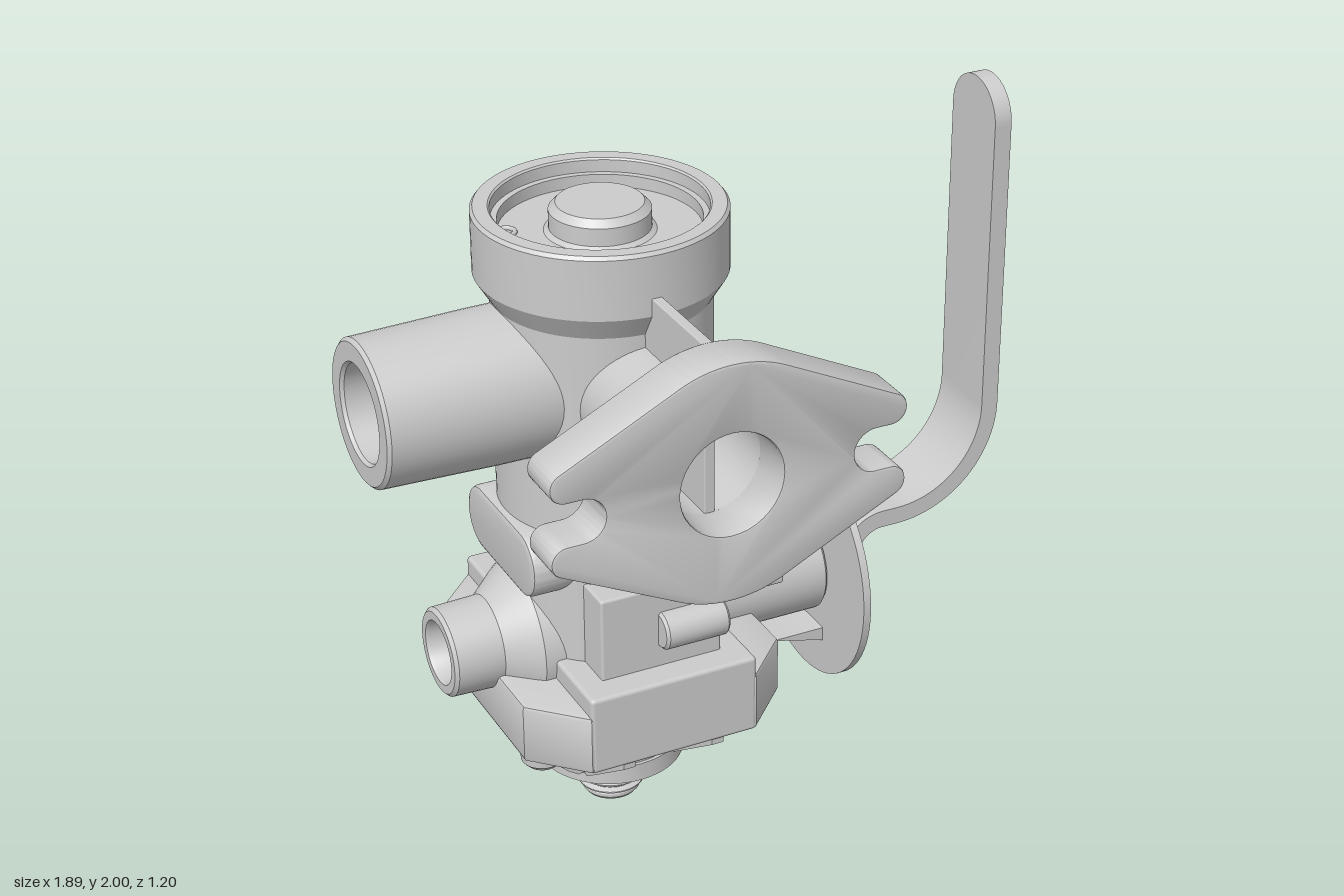
import * as THREE from 'three';
import { toCreasedNormals } from 'three/addons/utils/BufferGeometryUtils.js';
import { RoundedBoxGeometry } from 'three/addons/geometries/RoundedBoxGeometry.js';

const PI = Math.PI;

export function createModel() {
  const root = new THREE.Group();
  const valve = new THREE.Group();
  valve.name = 'valve';
  valve.position.set(-0.25, 0, -0.17); // vertical axis of the body
  root.add(valve);
  const mat = new THREE.MeshStandardMaterial({ color: 0xcccccc, side: THREE.DoubleSide });

  const add = (name, geo, x = 0, y = 0, z = 0) => {
    const m = new THREE.Mesh(geo, mat);
    m.name = name;
    m.position.set(x, y, z);
    valve.add(m);
    return m;
  };
  // turned part, profile given as [radius, height]
  const turned = (pts, seg = 56) =>
    toCreasedNormals(new THREE.LatheGeometry(pts.map(p => new THREE.Vector2(p[0], p[1])), seg), 0.5);
  const extrude = (shape, depth, bevel = 0) => toCreasedNormals(new THREE.ExtrudeGeometry(shape, {
    depth: depth - 2 * bevel, bevelEnabled: bevel > 0, bevelSize: bevel, bevelThickness: bevel,
    bevelOffset: -bevel, bevelSegments: 2, curveSegments: 20,
  }).translate(0, 0, bevel), 0.5);
  // box from its limits on each axis
  const box = (name, x0, x1, y0, y1, z0, z1, r = 0.008) =>
    add(name, new RoundedBoxGeometry(x1 - x0, y1 - y0, z1 - z0, 2, r), (x0 + x1) / 2, (y0 + y1) / 2, (z0 + z1) / 2);
  const polygon = pts => new THREE.Shape(pts.map(p => new THREE.Vector2(p[0], p[1])));

  // main barrel with collar, recessed top and centre boss
  add('barrel', turned([
    [0, 0.5], [0.3, 0.5], [0.3, 1.6], [0.343, 1.67], [0.343, 1.84], [0.335, 1.85], [0.295, 1.85], [0.29, 1.845],
    [0.29, 1.81], [0.272, 1.81], [0.272, 1.775], [0.15, 1.775], [0.137, 1.785], [0.137, 1.835], [0.118, 1.855], [0, 1.855],
  ], 72));
  for (const z of [-0.085, 0.085]) {
    const ring = add('topRing', new THREE.TorusGeometry(0.025, 0.007, 8, 24), -0.235, 1.778, z);
    ring.rotation.x = PI / 2;
  }
  box('backRib', -0.04, 0.04, 0.8, 1.63, -0.33, -0.25, 0.01);

  // flow arrow on the left side
  add('arrow', extrude(polygon([[0, 0.95], [0.055, 1.03], [0.022, 1.03], [0.022, 1.16], [-0.022, 1.16], [-0.022, 1.03], [-0.055, 1.03]]), 0.04),
    0.27).rotation.y = PI / 2;

  // upper side outlet
  add('sideOutlet', turned([
    [0.214, 0.1], [0.213, 0.36], [0.205, 0.69], [0.195, 0.7], [0.142, 0.7], [0.135, 0.69], [0.135, 0.15], [0, 0.15],
  ]), 0, 1.388).rotation.z = PI / 2;

  // front inlet pipe, stiffening rib and mounting flange
  add('inletPipe', turned([
    [0.178, 0.2], [0.178, 0.485], [0.2, 0.485], [0.208, 0.493], [0.208, 0.64], [0.145, 0.64], [0.145, 0.15], [0, 0.15],
  ]), 0, 1.385).rotation.x = PI / 2;
  box('inletRib', -0.015, 0.015, 1.05, 1.72, 0.2, 0.64, 0.004);

  const flange = new THREE.Shape();
  const a = 1.09, half = PI / 2;
  // one slotted ear; the second is the same half turned by 180 degrees
  for (const s of [1, -1]) {
    const t = s > 0 ? 0 : PI;
    const arc = (x, y, r, a0, a1, cw) => flange.absarc(s * x, s * y, r, a0 + t, a1 + t, cw);
    arc(0, 0, 0.34, -(PI - a), -a, false);
    arc(0.455, -0.105, 0.045, -a, half, false);
    arc(0.41, 0, 0.06, -half, -PI * 1.5, true);
    arc(0.455, 0.105, 0.045, -half, a, false);
  }
  flange.holes.push(new THREE.Path().absarc(0, 0, 0.145, 0, PI * 2, true));
  add('mountingFlange', extrude(flange, 0.14, 0.008), 0, 1.385, 0.63);

  // flat oval pad on the right side
  const pad = new THREE.Shape();
  pad.absarc(0.135, 0, 0.095, -half, half, false);
  pad.absarc(-0.135, 0, 0.095, half, PI * 1.5, false);
  add('ovalPad', extrude(pad, 0.2, 0.015), -0.12, 0.905).rotation.y = -half;

  // lower side outlet with its wide shoulder
  add('lowerOutlet', turned([
    [0.205, 0.1], [0.205, 0.28], [0.19, 0.3], [0.14, 0.36], [0.132, 0.37], [0.128, 0.505], [0.118, 0.515],
    [0.093, 0.515], [0.088, 0.505], [0.088, 0.4], [0, 0.4],
  ], 48), 0, 0.6).rotation.z = half;

  // octagonal base and the blocks rising from it
  const octagon = polygon([[0.25, -0.43], [0.39, -0.29], [0.39, 0.29], [0.25, 0.43], [-0.25, 0.43], [-0.39, 0.29], [-0.39, -0.29], [-0.25, -0.43]]);
  add('base', extrude(octagon, 0.18, 0.012), 0, 0.375).rotation.x = -half;
  box('baseBlock', -0.25, 0.25, 0.375, 0.612, -0.432, 0.432, 0.012);
  box('upperBlock', -0.18, 0.18, 0.5, 0.86, -0.35, 0.35);
  add('frontPin', turned([[0, 0], [0.047, 0], [0.055, 0.008], [0.055, 0.185], [0.047, 0.193], [0, 0.193]], 28),
    -0.01, 0.727, 0.355).rotation.z = -half;

  // bottom bonnet with stiffening fins and screws
  add('bonnet', turned([[0, 0.145], [0.21, 0.145], [0.21, 0.2], [0.2, 0.2], [0.225, 0.38], [0, 0.38]]));
  for (let k = 0; k < 4; k++) {
    const reach = k % 2 ? 0.42 : 0.37;
    const fin = polygon([[0.08, 0.2], [0.17, 0.18], [0.2, 0.2], [reach, 0.355], [reach, 0.385], [0.08, 0.385]]);
    for (const offset of [-0.135, 0.135]) {
      const g = extrude(fin, 0.035).translate(0, 0, offset - 0.0175);
      add('bonnetFin', g).rotation.y = k * half;
    }
  }
  for (const x of [-0.32, 0.32]) for (const z of [-0.25, 0.25]) {
    add('screw', turned([[0, 0.345], [0.025, 0.345], [0.025, 0.328], [0.045, 0.332], [0.06, 0.348], [0.062, 0.38], [0, 0.38]], 24), x, 0, z);
  }

  // threaded stem
  const thread = [[0, 0], [0.075, 0], [0.083, 0.01], [0.083, 0.02]];
  for (let i = 0; i < 5; i++) {
    const y = 0.025 + i * 0.023;
    thread.push([0.08, y], [0.095, y + 0.007], [0.095, y + 0.011], [0.08, y + 0.018]);
  }
  thread.push([0.08, 0.16]);
  add('threadedStem', turned(thread, 40));

  // handle side: spindle housing, stop plates and dial
  add('spindleHousing', turned([[0, 0.1], [0.148, 0.1], [0.148, 0.62], [0.14, 0.628], [0.1, 0.628], [0.1, 0.64], [0, 0.64]], 48),
    0, 0.6).rotation.z = -half;
  box('stopBlock', 0.1, 0.59, 0.68, 0.837, -0.21, -0.06);
  box('stopPlate', 0.1, 0.59, 0.68, 0.75, -0.1, 0.07);
  box('stopBar', -0.03, 0.45, 0.675, 0.752, 0.02, 0.21);
  add('dial', turned([[0, 0.632], [0.348, 0.632], [0.348, 0.655], [0, 0.655]], 72), 0, 0.598).rotation.z = -half;

  // bent flat lever
  const t = 0.026, topY = 1.8875;
  const lever = new THREE.Shape();
  lever.moveTo(0.47, 0.395 - t);
  lever.absarc(0.67, 0.445, 0.05 + t, -half, 0, false);
  lever.absarc(0.82, 0.635, 0.1 - t, PI, half, true);
  lever.absarc(0.87, 1.03, 0.295 + t, -half, 0, false);
  lever.lineTo(1.165 + t, topY);
  lever.lineTo(1.165 - t, topY);
  lever.absarc(0.87, 1.03, 0.295 - t, 0, -half, true);
  lever.absarc(0.82, 0.635, 0.1 + t, half, PI, false);
  lever.absarc(0.67, 0.445, 0.05 - t, 0, -half, true);
  lever.lineTo(0.47, 0.395 + t);
  add('lever', extrude(lever, 0.225), 0, 0, -0.1125);
  // rounded tip: upper half of a disc
  const tip = new THREE.Shape().absarc(0, 0, 0.1125, 0, PI, false);
  add('leverTip', extrude(tip, 2 * t), 1.165 - t, topY, 0).rotation.y = half;

  return root;
}
